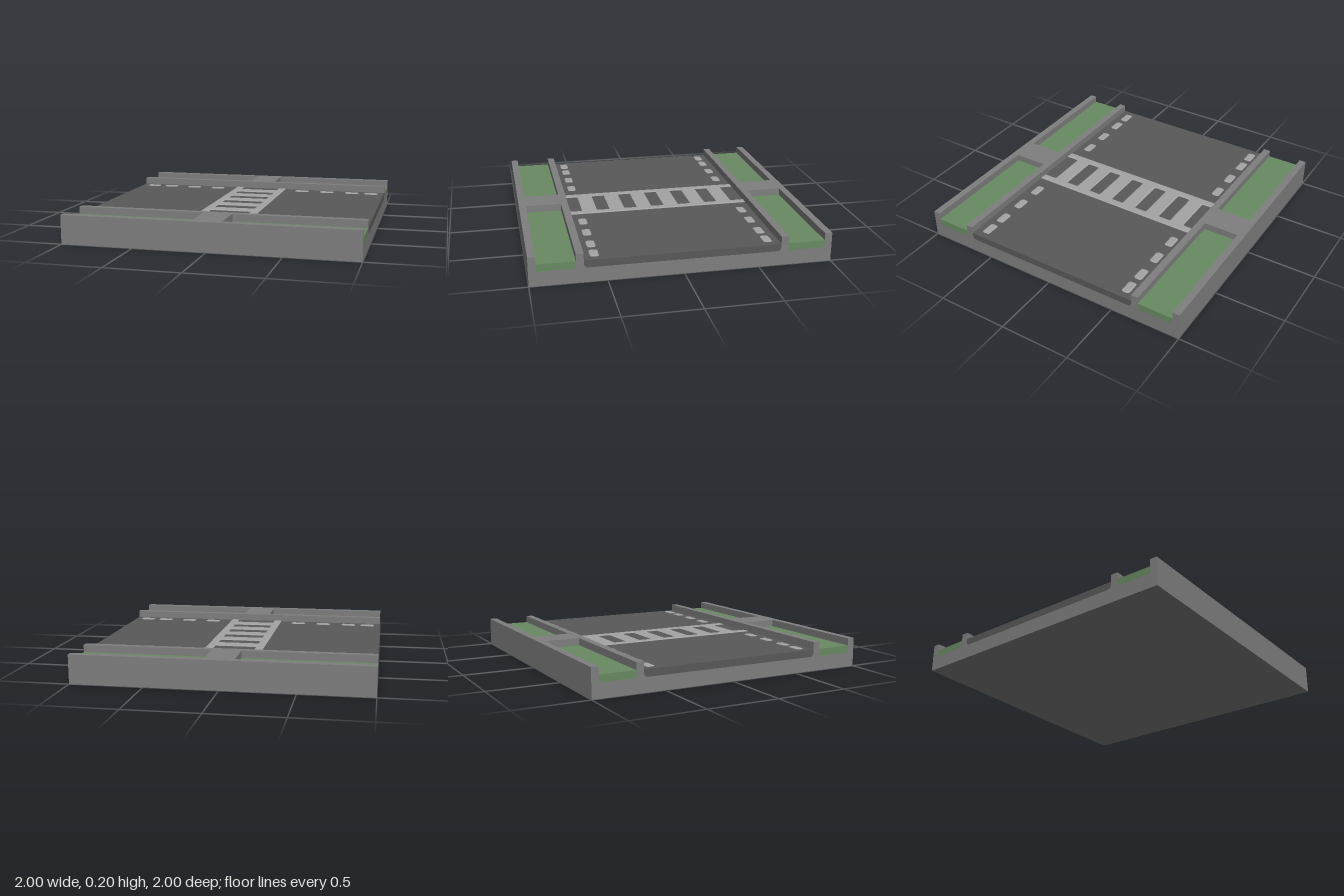
import * as THREE from 'three';

const mat = (name, color) => {
  const m = new THREE.MeshStandardMaterial({ color });
  m.name = name;
  return m;
};

export function createModel() {
  const group = new THREE.Group();
  const concrete = mat('concrete', 0x7f7f7f);
  const asphalt = mat('asphalt', 0x595959);
  const paint = mat('road paint', 0xa4a4a4);
  const grass = mat('grass', 0x688a62);

  const add = (name, geometry, material) => {
    const mesh = new THREE.Mesh(geometry, material);
    mesh.name = name;
    group.add(mesh);
    return mesh;
  };
  const box = (name, material, x0, x1, y0, y1, z0, z1) =>
    add(name, new THREE.BoxGeometry(x1 - x0, y1 - y0, z1 - z0), material)
      .position.set((x0 + x1) / 2, (y0 + y1) / 2, (z0 + z1) / 2);
  // Extrudes a z-y section along the full width
  const alongX = (shape) =>
    new THREE.ExtrudeGeometry(shape, { depth: 2, bevelEnabled: false, curveSegments: 5 })
      .translate(0, 0, -1).rotateY(Math.PI / 2);
  // Thin bevelled paint plate lying on the road
  const plate = (name, shape, x = 0, z = 0) =>
    add(name, new THREE.ExtrudeGeometry(shape, {
      depth: 0.002, bevelThickness: 0.003, bevelSize: 0.008, bevelOffset: -0.004,
      bevelSegments: 1, curveSegments: 4,
    }).rotateX(-Math.PI / 2), paint).position.set(x, 0.15, z);

  // Rounded lower edge of the roadway, from left to right
  const roadBed = (s) => s.lineTo(-0.65, 0.13)
    .quadraticCurveTo(-0.65, 0.1, -0.62, 0.1)
    .lineTo(0.62, 0.1)
    .quadraticCurveTo(0.65, 0.1, 0.65, 0.13);

  // Slab with curbs, planting troughs and road bed
  const section = new THREE.Shape();
  section.moveTo(-1, 0).lineTo(-1, 0.2).lineTo(-0.95, 0.2).lineTo(-0.95, 0.1)
    .lineTo(-0.7, 0.1).lineTo(-0.7, 0.2).lineTo(-0.65, 0.2);
  roadBed(section);
  section.lineTo(0.65, 0.2).lineTo(0.7, 0.2).lineTo(0.7, 0.1)
    .lineTo(0.95, 0.1).lineTo(0.95, 0.2).lineTo(1, 0.2).lineTo(1, 0);
  add('slabAndCurbs', alongX(section), concrete);

  // Road surface
  const road = new THREE.Shape();
  road.moveTo(-0.65, 0.15);
  roadBed(road);
  road.lineTo(0.65, 0.15);
  add('road', alongX(road), asphalt);

  // Footpaths and lawns on both sides
  for (const s of [-1, 1]) {
    const z0 = s * 0.825 - 0.125, z1 = s * 0.825 + 0.125;
    box('footpath', concrete, -0.1, 0.1, 0.1, 0.2, z0, z1);
    box('lawn', grass, -1, -0.1, 0.1, 0.15, z0, z1);
    box('lawn', grass, 0.1, 1, 0.1, 0.15, z0, z1);
  }

  // Rounded rectangle centred at height cy
  const rounded = (path, w, h, r, cy = 0) => {
    const x = w / 2, b = cy - h / 2, t = cy + h / 2;
    path.moveTo(-x + r, b).lineTo(x - r, b).quadraticCurveTo(x, b, x, b + r)
      .lineTo(x, t - r).quadraticCurveTo(x, t, x - r, t)
      .lineTo(-x + r, t).quadraticCurveTo(-x, t, -x, t - r)
      .lineTo(-x, b + r).quadraticCurveTo(-x, b, -x + r, b);
    return path;
  };

  // Crossing: open bays at the curbs, five rounded slots between
  const crossing = new THREE.Shape();
  crossing.moveTo(-0.2, -0.65).lineTo(-0.15, -0.65).lineTo(-0.15, -0.56).lineTo(-0.14, -0.55)
    .lineTo(0.14, -0.55).lineTo(0.15, -0.56).lineTo(0.15, -0.65).lineTo(0.2, -0.65)
    .lineTo(0.2, 0.65).lineTo(0.15, 0.65).lineTo(0.15, 0.56).lineTo(0.14, 0.55)
    .lineTo(-0.14, 0.55).lineTo(-0.15, 0.56).lineTo(-0.15, 0.65).lineTo(-0.2, 0.65);
  for (let i = -2; i <= 2; i++) {
    crossing.holes.push(rounded(new THREE.Path(), 0.3, 0.1, 0.015, i * 0.2));
  }
  plate('crossing', crossing);

  // Lane dashes along both curbs
  for (const s of [-1, 1]) {
    for (const x of [0.35, 0.55, 0.75, 0.9]) {
      for (const side of [-1, 1]) {
        plate('laneDash', rounded(new THREE.Shape(), 0.1, 0.05, 0.015), side * x, s * 0.575);
      }
    }
  }
  return group;
}
